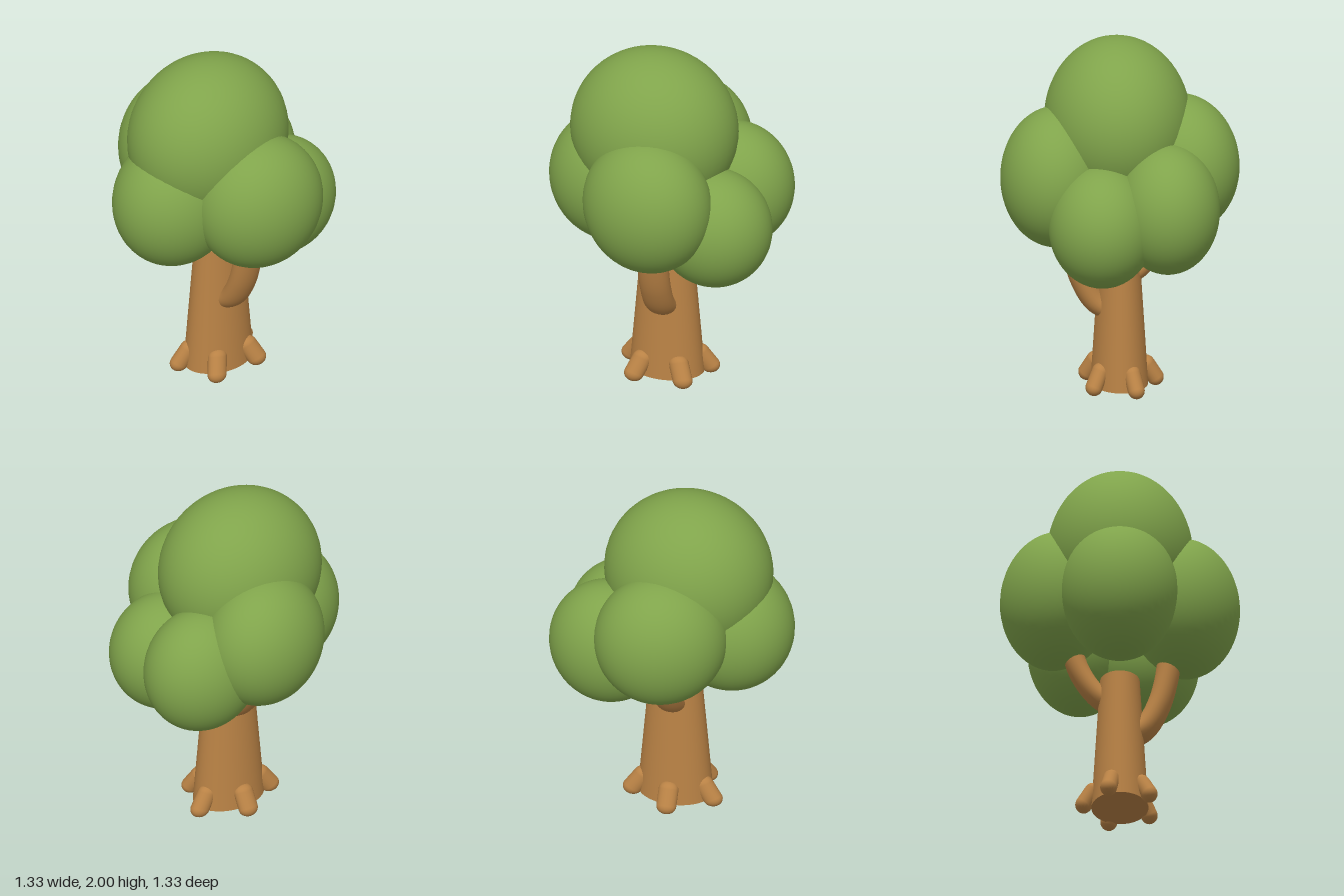
import * as THREE from 'three';

const bark = new THREE.MeshStandardMaterial({ color: 0xb98245 });
bark.name = 'bark brown';
const leaf = new THREE.MeshStandardMaterial({ color: 0x80a44b });
leaf.name = 'leaf green';

function addMesh(parent, name, geometry, material) {
  const mesh = new THREE.Mesh(geometry, material);
  mesh.name = name;
  parent.add(mesh);
  return mesh;
}

// Curved limb with a rounded lower end, running up into the foliage
function addBranch(parent, name, points, radius) {
  const path = new THREE.CatmullRomCurve3(points.map(([x, y]) => new THREE.Vector3(x, y, 0)));
  addMesh(parent, name, new THREE.TubeGeometry(path, 28, radius, 24), bark);
  addMesh(parent, name + 'End', new THREE.SphereGeometry(radius, 24, 16), bark)
    .position.copy(path.getPoint(0));
}

export function createModel() {
  const tree = new THREE.Group();
  tree.name = 'tree';

  // Trunk and limbs, deeper than they are wide
  const wood = new THREE.Group();
  wood.name = 'wood';
  wood.position.z = -0.012;
  wood.scale.z = 1.34;
  tree.add(wood);
  addMesh(wood, 'trunk', new THREE.CylinderGeometry(0.11, 0.158, 0.77, 48), bark).position.y = 0.415;
  addBranch(wood, 'leftBranch',
    [[0.06, 0.46], [0.14, 0.515], [0.21, 0.64], [0.255, 0.8], [0.28, 1.0]], 0.066);
  addBranch(wood, 'rightBranch',
    [[-0.04, 0.65], [-0.12, 0.705], [-0.19, 0.795], [-0.24, 0.9], [-0.27, 1.05]], 0.06);

  // Five stubby roots leaning out from the trunk
  const roots = new THREE.Group();
  roots.name = 'roots';
  roots.position.z = -0.012;
  roots.scale.z = 1.2;
  tree.add(roots);
  const up = new THREE.Vector3(0, 1, 0);
  for (let i = 0; i < 5; i++) {
    const a = Math.PI + (i * Math.PI * 2) / 5;
    const foot = new THREE.Vector3(Math.cos(a) * 0.2, 0.05, Math.sin(a) * 0.2);
    const top = new THREE.Vector3(Math.cos(a) * 0.15, 0.13, Math.sin(a) * 0.15);
    const dir = top.clone().sub(foot);
    const root = addMesh(roots, 'root' + (i + 1),
      new THREE.CapsuleGeometry(0.047, dir.length(), 8, 20), bark);
    root.position.copy(foot).add(top).multiplyScalar(0.5);
    root.quaternion.setFromUnitVectors(up, dir.normalize());
  }

  // Foliage: overlapping ellipsoids as [name, centre, radii, turn]
  const clumps = [
    ['crownFoliage', [0, 1.53, 0.063], [0.405, 0.47, 0.472], 0],
    ['frontFoliage', [0, 1.2, 0.3], [0.323, 0.385, 0.36], 0],
    ['rightFoliage', [-0.347, 1.285, -0.005], [0.31, 0.39, 0.37], 0.3],
    ['leftFoliage', [0.35, 1.241, -0.01], [0.311, 0.394, 0.372], -0.2],
    ['backRightFoliage', [-0.222, 1.13, -0.333], [0.29, 0.365, 0.335], 0],
    ['backLeftFoliage', [0.142, 1.043, -0.328], [0.295, 0.343, 0.328], 0],
  ];
  const foliage = new THREE.Group();
  foliage.name = 'foliage';
  tree.add(foliage);
  for (const [name, centre, radii, turn] of clumps) {
    const clump = addMesh(foliage, name, new THREE.SphereGeometry(1, 48, 32), leaf);
    clump.position.set(...centre);
    clump.scale.set(...radii);
    clump.rotation.y = turn;
  }
  return tree;
}
